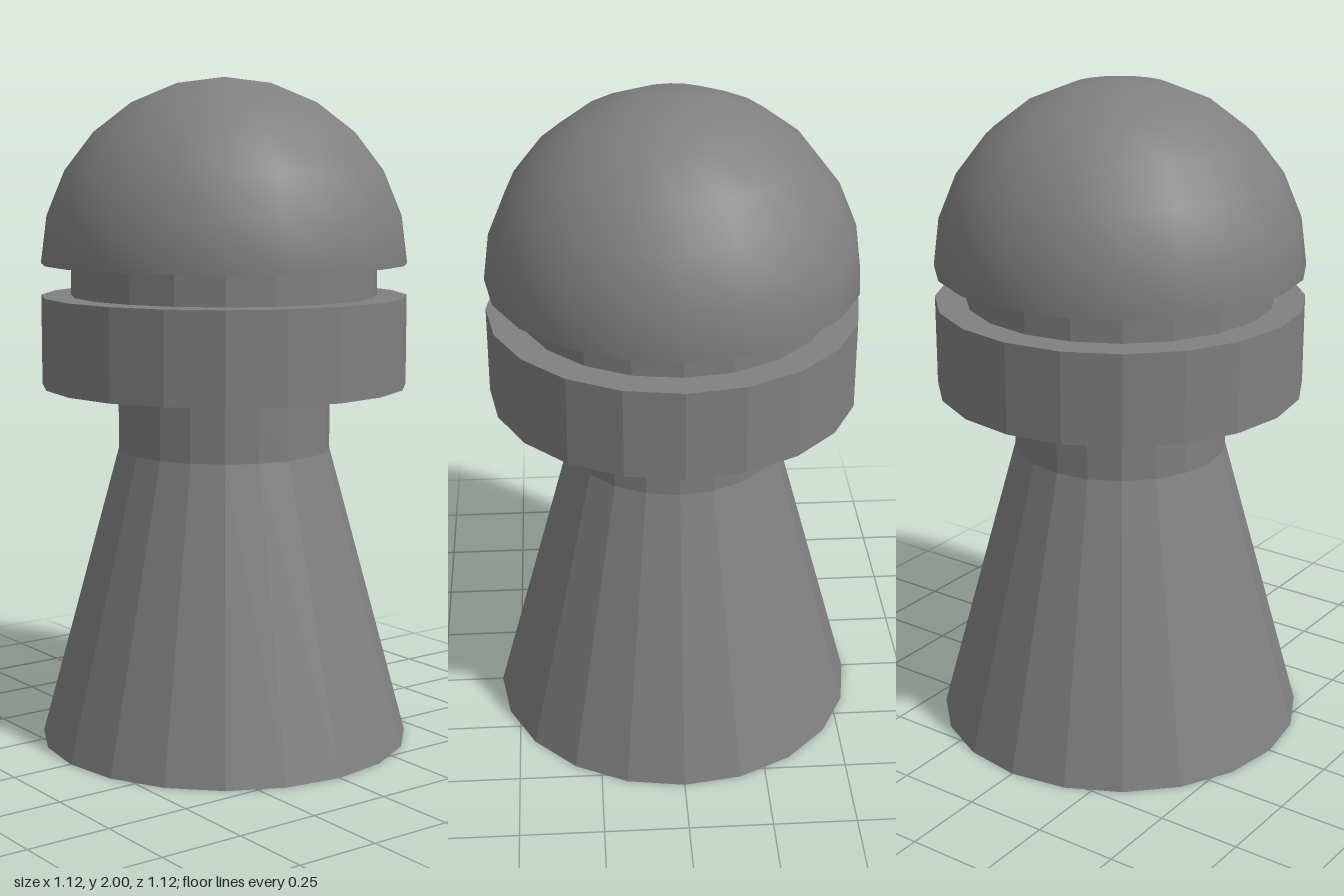
import * as THREE from 'three';

const SIDES = 20;

function part(name, geometry, flatShading) {
  const material = new THREE.MeshStandardMaterial({ color: 0x808080, flatShading, side: THREE.DoubleSide });
  const mesh = new THREE.Mesh(geometry, material);
  mesh.name = name;
  return mesh;
}

// Faceted ring or wall revolved from [radius, height] points, bottom to top.
function turned(name, profile) {
  const points = profile.map(([r, y]) => new THREE.Vector2(r, y));
  return part(name, new THREE.LatheGeometry(points, SIDES), true);
}

// Smooth spherical cap standing on a rim of the given radius.
function dome(name, rim, height, base) {
  const radius = (rim * rim + height * height) / (2 * height);
  const angle = Math.acos((radius - height) / radius);
  const mesh = part(name, new THREE.SphereGeometry(radius, SIDES, 6, 0, Math.PI * 2, 0, angle), false);
  mesh.position.y = base + height - radius;
  return mesh;
}

export function createModel() {
  const model = new THREE.Group();
  model.name = 'pawn';

  // Tapered foot with a shallow domed hollow underneath
  model.add(turned('taperedBase', [[0.56, 0], [0.32, 0.89]]));
  model.add(dome('baseHollow', 0.558, 0.22, 0));

  // Narrow neck under the collar
  model.add(turned('lowerNeck', [[0.32, 0.89], [0.32, 1.055]]));

  // Wide collar with a slightly conical underside
  model.add(turned('collar', [[0.32, 1.055], [0.55, 1.085], [0.55, 1.355], [0.46, 1.355]]));

  // Short neck under the head
  model.add(turned('upperNeck', [[0.46, 1.355], [0.46, 1.45]]));

  // Domed head with a flat underside
  model.add(turned('headUnderside', [[0.46, 1.45], [0.55, 1.45]]));
  model.add(dome('headDome', 0.55, 0.55, 1.45));

  return model;
}
